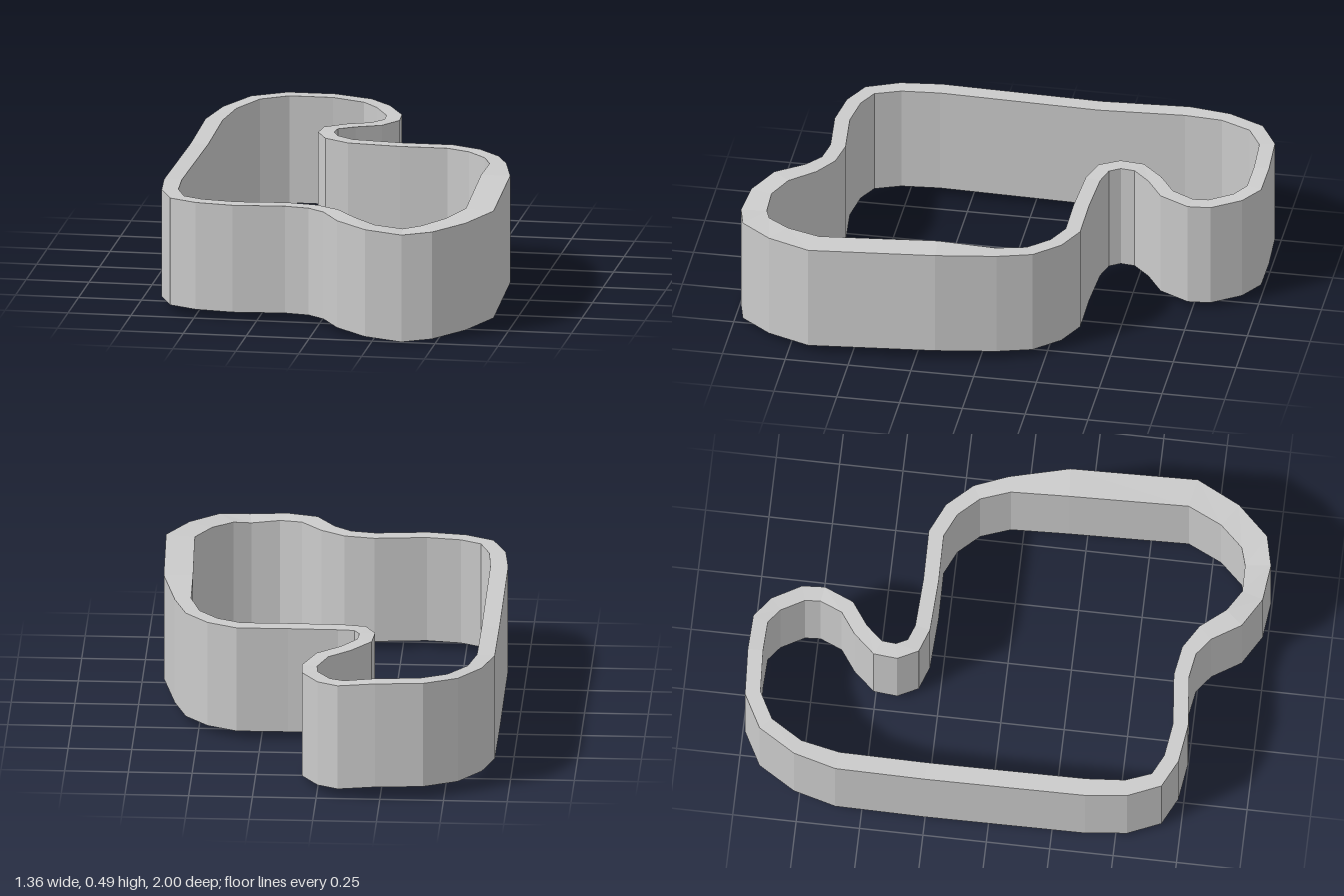
import * as THREE from 'three';

// Wall centreline, clockwise from above: x, z, then optional rise and thickness
const PATH = [
  [-0.645, 0.38, 0, 0.07], [-0.645, -0.25, -0.012, 0.07], [-0.645, -0.6, 0, 0.07],
  [-0.61, -0.76, 0.01], [-0.53, -0.895, 0.02], [-0.41, -0.96, 0.023], [-0.23, -0.97, 0.021],
  [-0.095, -0.965, 0.008], [-0.025, -0.913], [0.035, -0.81, -0.006], [0.04, -0.735, -0.007],
  [-0.005, -0.633], [-0.095, -0.57, 0.006], [-0.163, -0.495, 0.012], [-0.17, -0.42, 0.013],
  [-0.138, -0.358, 0.01], [-0.058, -0.33, 0.003], [0.145, -0.32], [0.34, -0.322],
  [0.445, -0.273], [0.528, -0.183], [0.573, -0.058, 0.007, 0.065], [0.603, 0.175, 0.018, 0.115],
  [0.621, 0.66, 0, 0.113], [0.55, 0.813, -0.01, 0.108], [0.453, 0.92, -0.02, 0.106],
  [0.36, 0.945, -0.03, 0.1], [0.23, 0.938, -0.018, 0.085], [0.125, 0.878, -0.004, 0.086],
  [0.048, 0.773, 0, 0.07], [-0.033, 0.718], [-0.14, 0.7], [-0.345, 0.72],
  [-0.488, 0.7], [-0.583, 0.653], [-0.63, 0.538, 0, 0.065],
];
const BOTTOM = 0.031, HEIGHT = 0.432, THICKNESS = 0.06;

// Four corners of the wall section at each path point, mitred at the bend
function sections() {
  const n = PATH.length;
  const normal = (a, b) => new THREE.Vector2(b[1] - a[1], a[0] - b[0]).normalize();
  return PATH.map((p, i) => {
    const [x, z, rise = 0, width = THICKNESS] = p;
    const n1 = normal(PATH[(i + n - 1) % n], p);
    const n2 = normal(p, PATH[(i + 1) % n]);
    const m = n1.clone().add(n2).multiplyScalar(width / 2 / (1 + n1.dot(n2)));
    const low = BOTTOM + rise, high = low + HEIGHT;
    return [
      [x + m.x, low, z + m.y], [x + m.x, high, z + m.y],
      [x - m.x, high, z - m.y], [x - m.x, low, z - m.y],
    ];
  });
}

export function createModel() {
  const rings = sections();
  const positions = [];
  // Join each section to the next: outside, top, inside, underside
  rings.forEach((a, i) => {
    const b = rings[(i + 1) % rings.length];
    for (let k = 0; k < 4; k++) {
      const l = (k + 1) % 4;
      positions.push(...a[k], ...a[l], ...b[l], ...a[k], ...b[l], ...b[k]);
    }
  });
  const geometry = new THREE.BufferGeometry();
  geometry.setAttribute('position', new THREE.Float32BufferAttribute(positions, 3));
  geometry.computeVertexNormals();

  const wall = new THREE.Mesh(
    geometry,
    new THREE.MeshStandardMaterial({ color: 0xcccccc, flatShading: true }),
  );
  wall.name = 'loopWall';
  const group = new THREE.Group();
  group.name = 'closedLoop';
  group.add(wall);
  return group;
}
